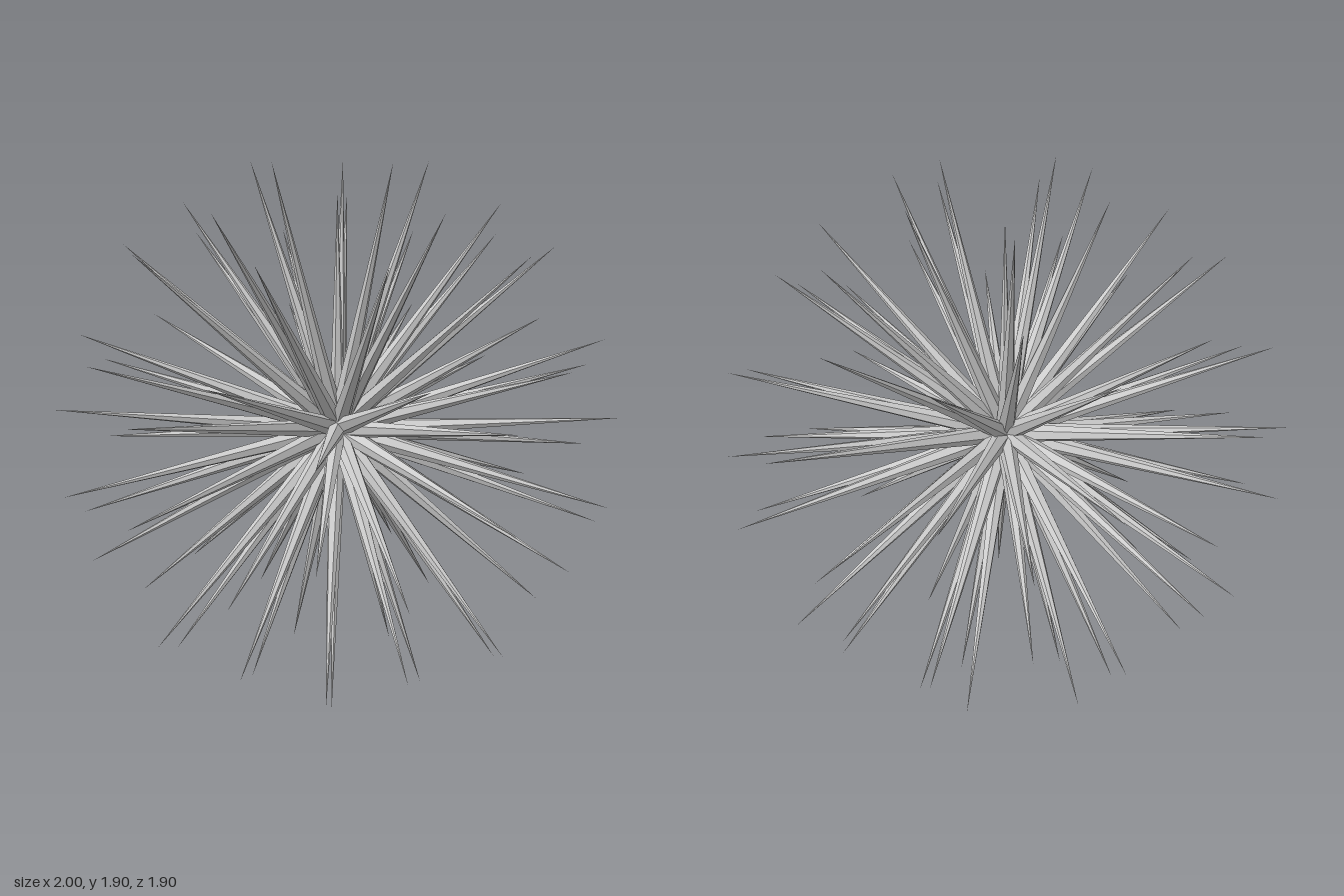
import * as THREE from 'three';

const CENTRE = 0.957;   // height of the ball's middle
const REACH = 1.008;    // distance from the middle to each spike tip
const HUB = 0.1;

// The twelve corners of an icosahedron standing on one corner
function icosaCorners() {
  const pts = [new THREE.Vector3(0, 1, 0), new THREE.Vector3(0, -1, 0)];
  const h = 1 / Math.sqrt(5), r = 2 / Math.sqrt(5);
  for (let i = 0; i < 5; i++) {
    const a = (i * Math.PI * 2) / 5;
    pts.push(new THREE.Vector3(r * Math.cos(a), h, r * Math.sin(a)));
    pts.push(new THREE.Vector3(-r * Math.cos(a), -h, r * Math.sin(a)));
  }
  return pts;
}

// Outward normal of a triangle
function outward(a, b, c) {
  const n = b.clone().sub(a).cross(c.clone().sub(a)).normalize();
  return n.dot(a) < 0 ? n.negate() : n;
}

const middle = (a, b) => a.clone().add(b).normalize();

// One direction for each of the 80 faces of a once-divided icosahedron
function spikeDirections() {
  const p = icosaCorners(), dirs = [];
  const near = (a, b) => a.distanceTo(b) < 1.1;
  for (let i = 0; i < 12; i++)
    for (let j = i + 1; j < 12; j++)
      for (let k = j + 1; k < 12; k++) {
        const [a, b, c] = [p[i], p[j], p[k]];
        if (!near(a, b) || !near(b, c) || !near(a, c)) continue;
        const ab = middle(a, b), bc = middle(b, c), ca = middle(c, a);
        dirs.push(outward(ab, bc, ca), outward(a, ab, ca), outward(b, bc, ab), outward(c, ca, bc));
      }
  return dirs;
}

export function createModel() {
  const model = new THREE.Group();
  const material = new THREE.MeshStandardMaterial({ color: 0xcccccc, flatShading: true });

  const ball = new THREE.Group();
  ball.name = 'spikyBall';
  ball.position.y = CENTRE;
  model.add(ball);

  // Faceted core
  const hub = new THREE.Mesh(new THREE.IcosahedronGeometry(HUB, 1), material);
  hub.name = 'hub';
  ball.add(hub);

  // Long thin spikes, standing on every face of the core
  const start = 0.07, length = REACH - start;
  const spikeShape = new THREE.ConeGeometry(0.034, length, 6);
  spikeShape.translate(0, start + length / 2, 0);
  const up = new THREE.Vector3(0, 1, 0);
  const spikes = new THREE.Group();
  spikes.name = 'spikes';
  for (const dir of spikeDirections()) {
    const spike = new THREE.Mesh(spikeShape, material);
    spike.name = 'spike';
    spike.quaternion.setFromUnitVectors(up, dir);
    spikes.add(spike);
  }
  ball.add(spikes);

  // Upright spike running through the core
  const upright = new THREE.Mesh(new THREE.ConeGeometry(0.034, length, 6), material);
  upright.name = 'uprightSpike';
  upright.position.y = 0.38;
  ball.add(upright);

  return model;
}
